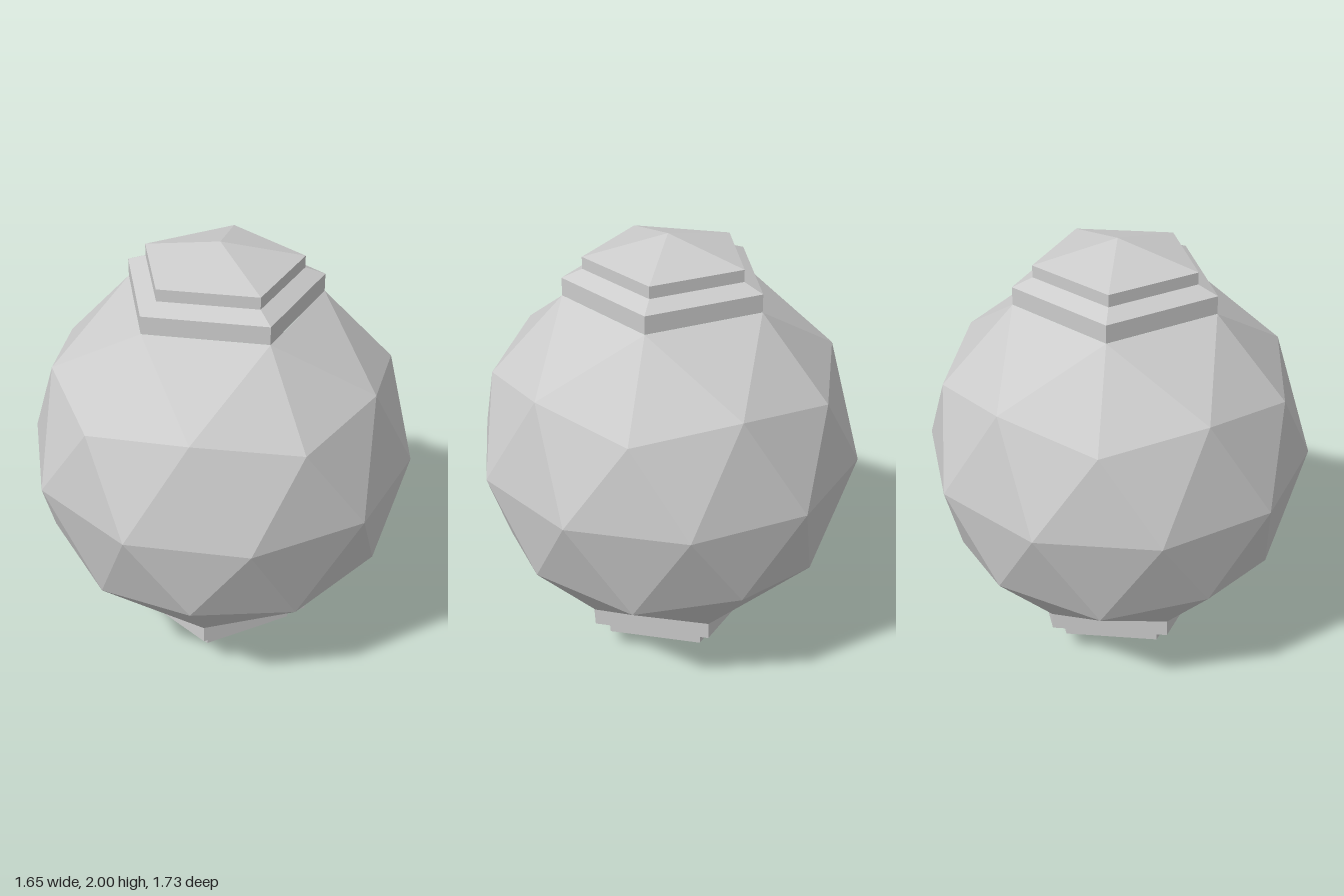
import * as THREE from 'three';

const R = 0.866;

// Ring of n points; each point's radius and height may alternate
function ring(n, phase, radii, heights) {
  return Array.from({ length: n }, (_, i) => {
    const a = phase + (i / n) * Math.PI * 2;
    const r = radii[i % radii.length];
    return [Math.cos(a) * r, heights[i % heights.length], Math.sin(a) * r];
  });
}

// Upper half of a faceted icosphere, open at the pentagon around the pole
function hemisphereGeometry() {
  const collar = ring(5, 0, [0.5257 * R], [0.8507 * R]);
  const shoulder = ring(10, 0, [0.8944 * R, 0.8507 * R], [0.4472 * R, 0.5257 * R]);
  const equator = ring(10, Math.PI / 10, [R], [0]);
  const pos = [];
  const tri = (a, b, c) => pos.push(...a, ...b, ...c);
  for (let k = 0; k < 5; k++) {
    const c = collar[k], s = shoulder[2 * k], next = shoulder[2 * k + 1];
    tri(s, c, next);
    tri(shoulder[(2 * k + 9) % 10], c, s);
    tri(next, c, collar[(k + 1) % 5]);
  }
  for (let j = 0; j < 10; j++) {
    tri(equator[(j + 9) % 10], shoulder[j], equator[j]);
    tri(equator[j], shoulder[j], shoulder[(j + 1) % 10]);
  }
  const geo = new THREE.BufferGeometry();
  geo.setAttribute('position', new THREE.Float32BufferAttribute(pos, 3));
  geo.computeVertexNormals();
  return geo;
}

// Two-step pentagonal cap ending in a low point
function capGeometry() {
  const profile = [
    [0.455, 0.737], [0.455, 0.818], [0.366, 0.855], [0.366, 0.909], [0, 1],
  ].map(([x, y]) => new THREE.Vector2(x, y));
  const geo = new THREE.LatheGeometry(profile, 5, Math.PI / 2).toNonIndexed();
  geo.computeVertexNormals();
  return geo;
}

export function createModel() {
  const grey = new THREE.MeshStandardMaterial({ color: 0xcccccc, flatShading: true });
  grey.name = 'grey';
  const shell = hemisphereGeometry();
  const cap = capGeometry();

  const model = new THREE.Group();
  model.name = 'facetedSphere';
  // The lower half is the upper half turned upside down
  for (const side of ['upper', 'lower']) {
    const half = new THREE.Group();
    half.name = side + 'Half';
    half.position.y = 1;
    if (side === 'lower') half.rotation.z = Math.PI;
    const body = new THREE.Mesh(shell, grey);
    body.name = side + 'Shell';
    const steppedCap = new THREE.Mesh(cap, grey);
    steppedCap.name = side + 'SteppedCap';
    half.add(body, steppedCap);
    model.add(half);
  }
  return model;
}
